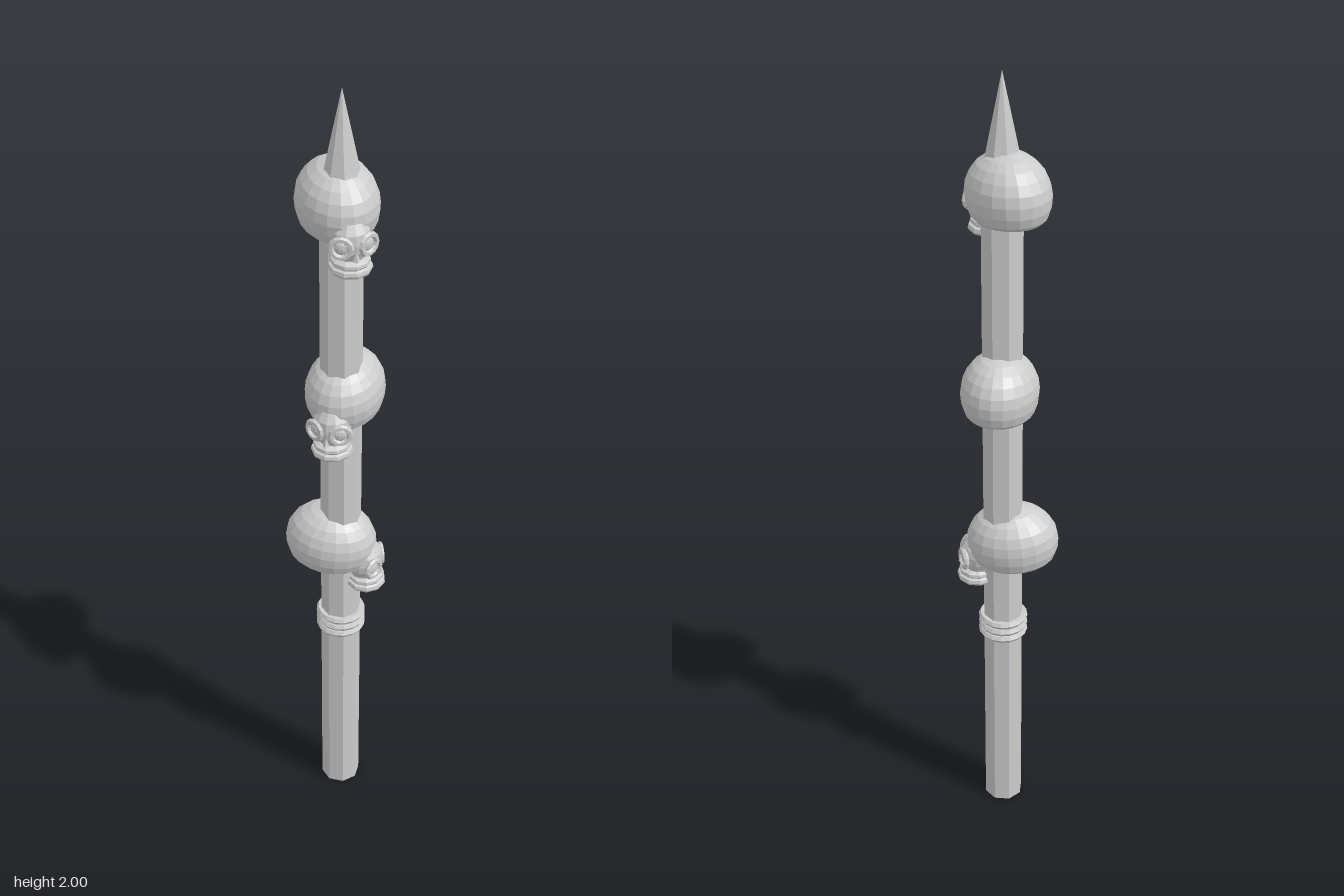
import * as THREE from 'three';

const POLE_X = 0.005, POLE_Z = 0.007;

export function createModel() {
  const bone = new THREE.MeshStandardMaterial({ color: 0xcccccc });
  bone.name = 'pale grey';
  bone.flatShading = true;

  const add = (parent, name, geometry, x, y, z) => {
    const mesh = new THREE.Mesh(geometry, bone);
    mesh.name = name;
    mesh.position.set(x, y, z);
    parent.add(mesh);
    return mesh;
  };

  // Skull cap: domed above, short and flat underneath
  const profile = [[0, -0.057], [0.8, -0.057], [0.89, -0.048], [0.97, -0.026]];
  for (let i = 0; i <= 6; i++) {
    const a = (i / 6) * Math.PI / 2;
    profile.push([i === 6 ? 0 : Math.cos(a), Math.sin(a) * 0.094]);
  }
  const craniumGeo = new THREE.LatheGeometry(profile.map(([r, y]) => new THREE.Vector2(r, y)), 20);
  craniumGeo.scale(0.091, 1, 0.112);

  // Face narrows from the brow down to the jaw
  const faceGeo = new THREE.LatheGeometry(
    [[0, 0.022], [0.032, 0.024], [0.034, 0.036], [0.043, 0.055], [0.046, 0.075],
      [0.043, 0.098], [0.03, 0.118], [0, 0.126]].map(([r, y]) => new THREE.Vector2(r, y)), 12);

  // Jaw: two flared rims with a groove for the teeth
  const jawGeo = new THREE.LatheGeometry(
    [[0, 0], [0.046, 0], [0.049, 0.006], [0.047, 0.014], [0.041, 0.017],
      [0.044, 0.021], [0.043, 0.028], [0.033, 0.033], [0, 0.034]].map(([r, y]) => new THREE.Vector2(r, y)), 10);

  const ringGeo = new THREE.TorusGeometry(0.022, 0.007, 6, 12);
  const eyeGeo = new THREE.SphereGeometry(0.017, 10, 6);
  eyeGeo.scale(1, 1, 0.5);
  const noseGeo = new THREE.ConeGeometry(0.009, 0.022, 4);

  function makeSkull(name, x, y, z, yaw) {
    const skull = new THREE.Group();
    skull.name = name;
    skull.position.set(x, y, z);
    skull.rotation.y = THREE.MathUtils.degToRad(yaw);
    add(skull, 'cranium', craniumGeo, 0, 0.12, 0).rotation.x = 0.08;
    add(skull, 'face', faceGeo, 0, 0, 0.083);
    add(skull, 'jaw', jawGeo, 0, 0, 0.088);
    add(skull, 'nose', noseGeo, 0, 0.05, 0.126);
    for (const side of [-1, 1]) {
      const socket = new THREE.Group();
      socket.name = 'eyeSocket';
      socket.position.set(side * 0.031, 0.07, 0.116);
      socket.rotation.y = side * 0.45;
      add(socket, 'socketRim', ringGeo, 0, 0, 0);
      add(socket, 'eye', eyeGeo, 0, 0, -0.004);
      skull.add(socket);
    }
    return skull;
  }

  const model = new THREE.Group();
  model.name = 'skullStaff';

  // Octagonal shaft and spike
  add(model, 'shaft', new THREE.CylinderGeometry(0.049, 0.049, 1.75, 8), POLE_X, 0.875, POLE_Z);
  add(model, 'spike', new THREE.ConeGeometry(0.044, 0.21, 8), POLE_X, 1.895, POLE_Z);

  // Grip rings
  const gripGeo = new THREE.TorusGeometry(0.051, 0.01, 6, 16);
  gripGeo.rotateX(Math.PI / 2);
  for (let i = 0; i < 3; i++) add(model, 'gripRing', gripGeo, POLE_X, 0.543 + i * 0.021, POLE_Z);

  // Three skulls, each turned differently
  model.add(makeSkull('topSkull', -0.002, 1.612, -0.013, 11));
  model.add(makeSkull('middleSkull', 0.017, 1.125, -0.012, -28));
  model.add(makeSkull('lowerSkull', -0.018, 0.695, 0.002, 66));
  return model;
}
